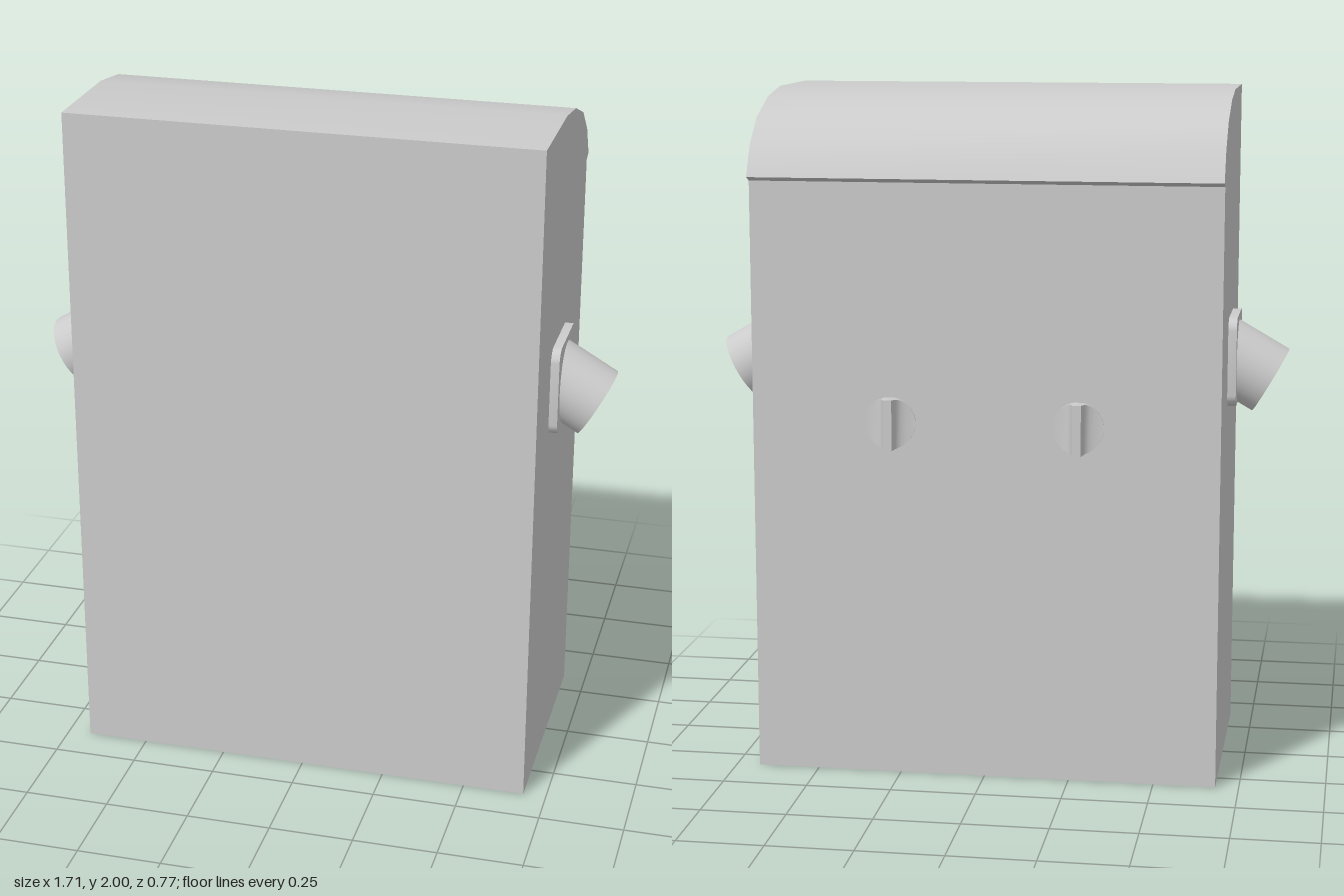
import * as THREE from 'three';
import { toCreasedNormals } from 'three/addons/utils/BufferGeometryUtils.js';

const material = new THREE.MeshStandardMaterial({ color: 0xcccccc });

function part(name, geometry, parent, crease = 0.6) {
  const mesh = new THREE.Mesh(toCreasedNormals(geometry, crease), material);
  mesh.name = name;
  parent.add(mesh);
  return mesh;
}

// Cabinet: side profile (z, y) with a curved rear roof and a small drip lip
function cabinetGeometry() {
  const width = 1.364;
  const profile = [
    [0.385, 0], [0.385, 2], [0.06, 2], [-0.09, 1.978], [-0.23, 1.925],
    [-0.317, 1.85], [-0.364, 1.762], [-0.335, 1.75], [-0.335, 0],
  ].map(([z, y]) => new THREE.Vector2(z, y));
  const geo = new THREE.ExtrudeGeometry(new THREE.Shape(profile), { depth: width, bevelEnabled: false });
  return geo.translate(0, 0, -width / 2).rotateY(-Math.PI / 2);
}

// Mounting plate: square with rounded corners, facing +x
function plateGeometry() {
  const h = 0.132, r = 0.04, s = new THREE.Shape();
  s.absarc(h - r, h - r, r, 0, Math.PI / 2);
  s.absarc(r - h, h - r, r, Math.PI / 2, Math.PI);
  s.absarc(r - h, r - h, r, Math.PI, Math.PI * 1.5);
  s.absarc(h - r, r - h, r, Math.PI * 1.5, Math.PI * 2);
  s.closePath();
  return new THREE.ExtrudeGeometry(s, { depth: 0.045, bevelEnabled: false, curveSegments: 6 })
    .translate(0, 0, -0.02).rotateY(Math.PI / 2);
}

// Angled socket: tube with a bevelled rim and a shallow recess
function socketGeometry() {
  const points = [[0.107, -0.2], [0.107, 0], [0.09, 0], [0.076, -0.02], [0, -0.02]]
    .map(([r, y]) => new THREE.Vector2(r, y));
  return new THREE.LatheGeometry(points, 32).rotateZ(-Math.PI * 2 / 3);
}

// Turn knob: round base whose surface flares up into a vertical grip bar
function knobGeometry() {
  const radius = 0.075;
  const half = [[0.0745, 0.004], [0.07, 0.004], [0.06, 0.005], [0.047, 0.007],
    [0.034, 0.011], [0.025, 0.017], [0.019, 0.027], [0.013, 0.05]];
  const columns = [...half.map(([x, h]) => [-x, h]), ...half.slice().reverse()];
  const n = columns.length - 1;
  const geo = new THREE.BoxGeometry(1, 1, 1, n, 1, 1);
  const p = geo.attributes.position;
  for (let i = 0; i < p.count; i++) {
    const [x, h] = columns[Math.round((p.getX(i) + 0.5) * n)];
    const y = Math.sqrt(radius * radius - x * x);
    p.setXYZ(i, x, Math.sign(p.getY(i)) * y, p.getZ(i) > 0 ? h : -0.005);
  }
  return geo.rotateY(Math.PI);
}

export function createModel() {
  const model = new THREE.Group();
  model.name = 'cabinet';
  part('cabinetBody', cabinetGeometry(), model);

  for (const [side, sign] of [['left', 1], ['right', -1]]) {
    // Side connector, turned half round for the other side
    const connector = new THREE.Group();
    connector.name = side + 'Connector';
    part('mountingPlate', plateGeometry(), connector).position.set(0.682, 1.211, 0);
    part('angledSocket', socketGeometry(), connector).position.set(0.802, 1.145, 0);
    connector.position.z = 0.05;
    if (sign < 0) connector.rotation.y = Math.PI;
    model.add(connector);

    // Rear knob
    part(side + 'Knob', knobGeometry(), model).position.set(sign * 0.274, 1.055, -0.335);
  }
  return model;
}
